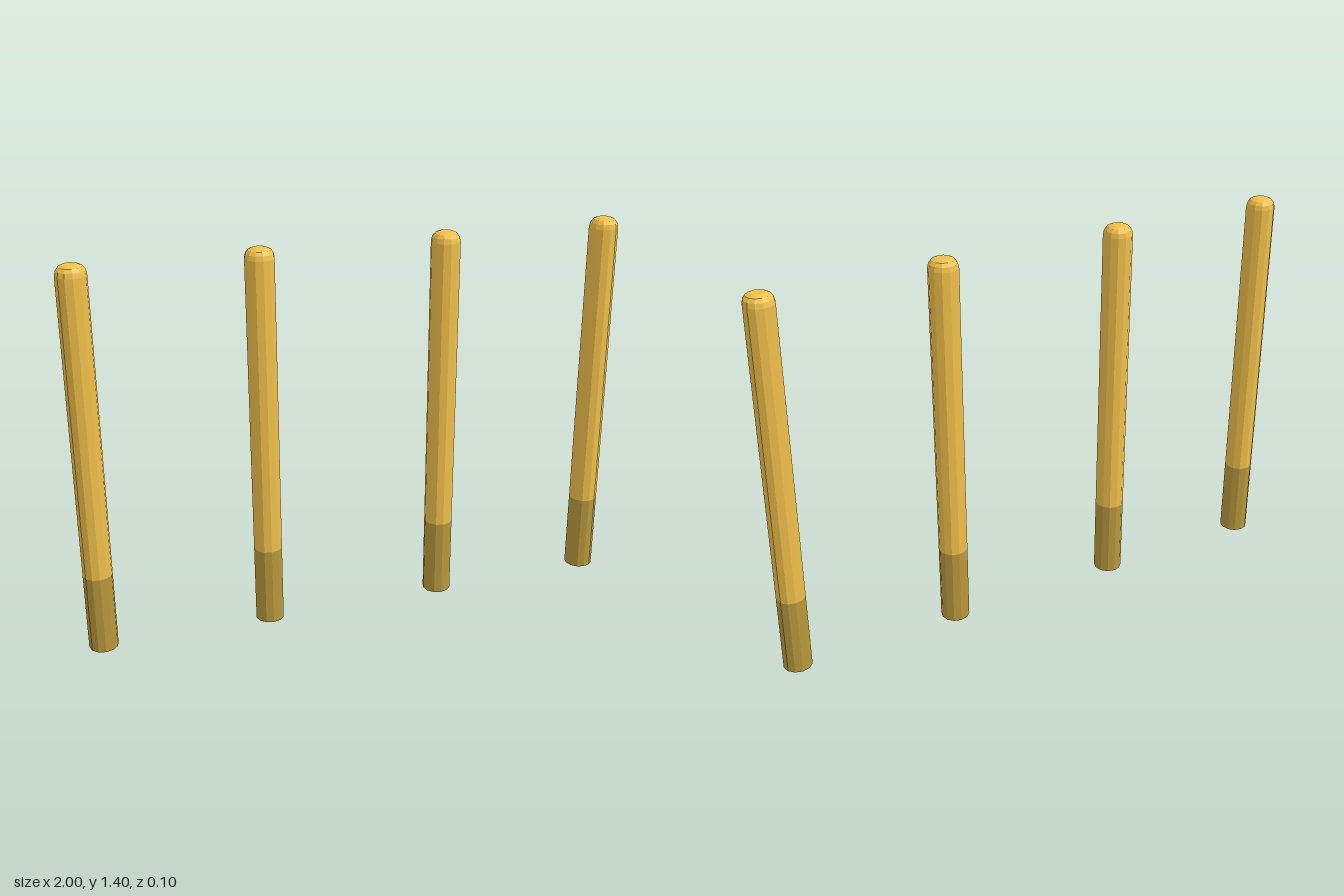
import * as THREE from 'three';

export function createModel() {
  const model = new THREE.Group();
  model.name = 'bollardRow';

  const SIDES = 12, R = 0.052, SPLIT = 0.29;
  const paint = new THREE.MeshStandardMaterial({ color: 0xf0c04a, flatShading: true });
  const darkPaint = new THREE.MeshStandardMaterial({ color: 0xb8983c, flatShading: true });

  const lathe = (points) =>
    new THREE.LatheGeometry(points.map(([r, y]) => new THREE.Vector2(r, y)), SIDES);

  // Darker foot with a closed underside
  const footGeometry = lathe([[0, 0], [R, 0], [R, SPLIT]]);
  // Post shaft with a softly domed top
  const shaftGeometry = lathe([
    [R, SPLIT], [R, 1.365], [0.048, 1.382], [0.039, 1.394], [0.025, 1.4], [0, 1.4],
  ]);

  // Four posts in a row
  for (const x of [-0.948, -0.333, 0.333, 0.948]) {
    const post = new THREE.Group();
    post.name = 'post';
    const foot = new THREE.Mesh(footGeometry, darkPaint);
    foot.name = 'foot';
    const shaft = new THREE.Mesh(shaftGeometry, paint);
    shaft.name = 'shaft';
    post.add(foot, shaft);
    post.position.x = x;
    model.add(post);
  }
  return model;
}
